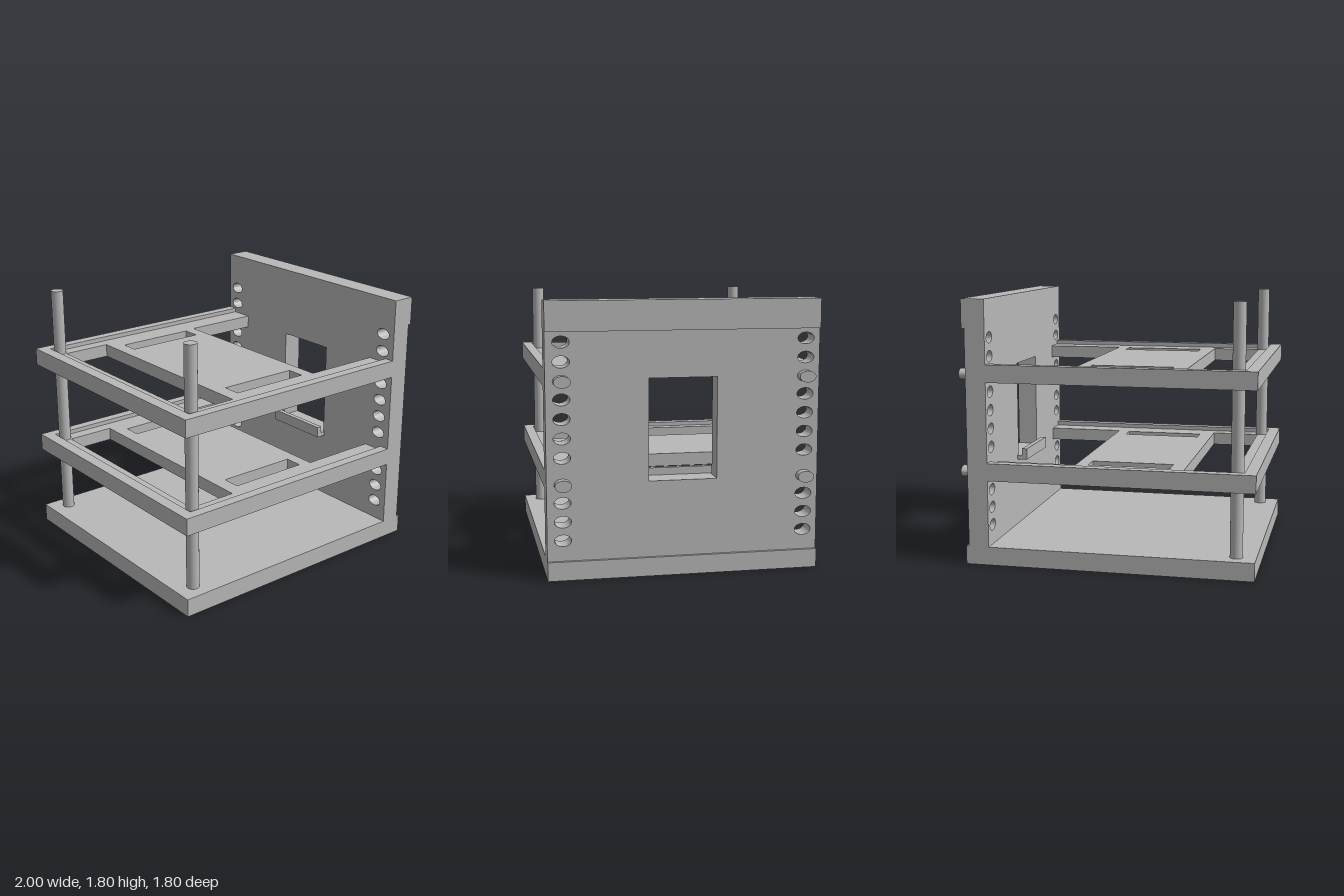
import * as THREE from 'three';
import { toCreasedNormals } from 'three/addons/utils/BufferGeometryUtils.js';

const grey = new THREE.MeshStandardMaterial({ color: 0xb8b8b8 });
grey.name = 'plain grey';

function part(name, geometry, parent) {
  const mesh = new THREE.Mesh(geometry, grey);
  mesh.name = name;
  parent.add(mesh);
  return mesh;
}

// Box given by its lower and upper corners
function box(name, [x0, y0, z0], [x1, y1, z1], parent) {
  const g = new THREE.BoxGeometry(x1 - x0, y1 - y0, z1 - z0);
  g.translate((x0 + x1) / 2, (y0 + y1) / 2, (z0 + z1) / 2);
  return part(name, g, parent);
}

const outline = (points, Type = THREE.Shape) =>
  new Type(points.map(([a, b]) => new THREE.Vector2(a, b)));

const rect = (a0, a1, b0, b1) =>
  outline([[a0, b0], [a1, b0], [a1, b1], [a0, b1]], THREE.Path);

// Extrusion with smooth curved walls and sharp edges
function extrude(shape, depth) {
  const g = new THREE.ExtrudeGeometry(shape, { depth, bevelEnabled: false, curveSegments: 32 });
  return toCreasedNormals(g, 0.5);
}

// Drawn in (-z, y), thickened along +x
const alongX = (shape, x, depth) => extrude(shape, depth).rotateY(Math.PI / 2).translate(x, 0, 0);
// Drawn in (x, -z), thickened along +y
const alongY = (shape, y, depth) => extrude(shape, depth).rotateX(-Math.PI / 2).translate(0, y, 0);

const PEG_Z = [0.797, -0.807];
const PEG_RZ = 0.055, PEG_RY = 0.038;
const HOLE_Y = [0.26, 0.383, 0.507, 0.628, 0.8, 0.925, 1.05, 1.175, 1.293, 1.415, 1.54];

function buildWall(parent) {
  const wall = new THREE.Group();
  wall.name = 'wall';
  parent.add(wall);

  // Panel with window and two columns of oval holes
  const s = outline([[-0.9, 0.125], [0.9, 0.125], [0.9, 1.605], [-0.9, 1.605]]);
  s.holes.push(rect(-0.235, 0.215, 0.63, 1.3));
  for (const z of PEG_Z) for (const y of HOLE_Y) {
    const hole = new THREE.Path();
    hole.absellipse(-z, y, PEG_RZ, PEG_RY, 0, Math.PI * 2, true);
    s.holes.push(hole);
  }
  part('wallPanel', alongX(s, 0.8, 0.14), wall);
  box('wallHeader', [0.8, 1.605, -0.9], [0.96, 1.8, 0.9], wall);

  // L-shaped ledge inside the window
  box('windowLedge', [0.73, 0.6, -0.24], [0.8, 0.63, 0.245], wall);
  box('windowLedgeLip', [0.73, 0.63, -0.24], [0.765, 0.68, 0.245], wall);
}

function buildShelf(y, name, parent) {
  const shelf = new THREE.Group();
  shelf.name = name;
  parent.add(shelf);

  // Plate with a notch towards the wall, a wide opening and two slots
  const plate = outline([
    [-1, -0.9], [0.8, -0.9], [0.8, -0.68], [0.25, -0.68],
    [0.25, 0.67], [0.8, 0.67], [0.8, 0.9], [-1, 0.9],
  ]);
  plate.holes.push(
    rect(-0.84, -0.5, -0.735, 0.742),
    rect(-0.4, 0.165, 0.525, 0.652),
    rect(-0.4, 0.165, -0.66, -0.535),
  );
  part('shelfPlate', alongY(plate, y, 0.09), shelf);

  // Raised rim on three sides
  const rim = outline([
    [-1, -0.9], [0.8, -0.9], [0.8, -0.83], [-0.92, -0.83],
    [-0.92, 0.83], [0.8, 0.83], [0.8, 0.9], [-1, 0.9],
  ]);
  part('shelfRim', alongY(rim, y + 0.09, 0.03), shelf);

  // Oval pegs through the wall
  for (const z of PEG_Z) {
    const peg = new THREE.Shape();
    peg.absellipse(-z, y + 0.046, PEG_RZ, PEG_RY, 0, Math.PI * 2, false);
    part('shelfPeg', alongX(peg, 0.79, 0.21), shelf);
  }
}

export function createModel() {
  const model = new THREE.Group();
  model.name = 'adjustableShelfRack';

  box('base', [-1, 0, -0.9], [0.96, 0.125, 0.9], model);
  buildWall(model);
  buildShelf(0.582, 'lowerShelf', model);
  buildShelf(1.247, 'upperShelf', model);

  // Support rods
  for (const z of [0.78, -0.785]) {
    const rod = part('supportRod', new THREE.CylinderGeometry(0.043, 0.043, 1.69, 32), model);
    rod.position.set(-0.867, 0.955, z);
  }
  return model;
}
